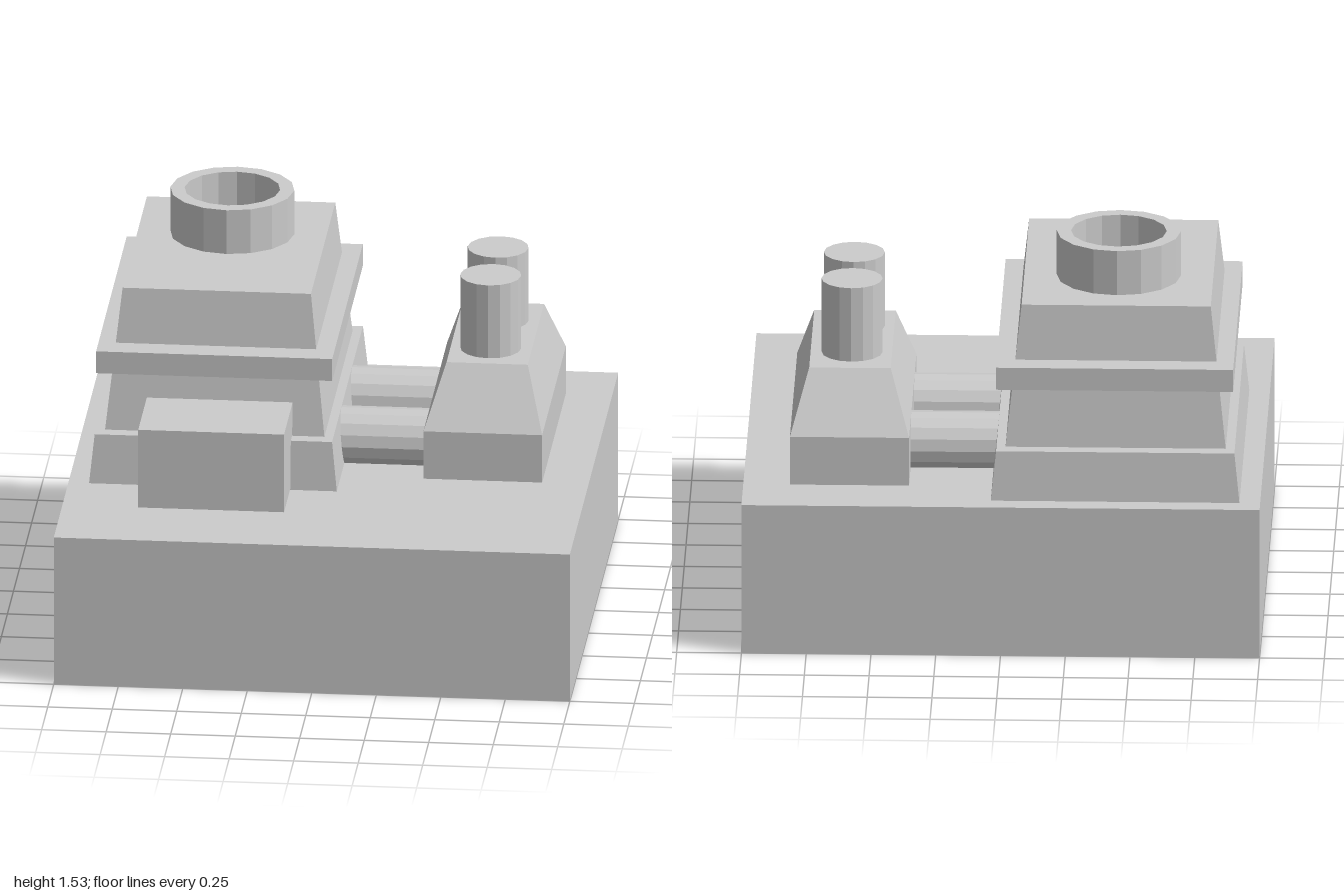
import * as THREE from 'three';

const material = new THREE.MeshStandardMaterial({ color: 0xcccccc, flatShading: true });
const shellMaterial = new THREE.MeshStandardMaterial({ color: 0xcccccc, flatShading: true, side: THREE.DoubleSide });

// Block between two heights; each rectangle is [xMin, xMax, zMin, zMax]
function taperedBlock(y0, y1, bottom, top = bottom) {
  const geometry = new THREE.BoxGeometry(1, 1, 1);
  const p = geometry.attributes.position;
  for (let i = 0; i < p.count; i++) {
    const r = p.getY(i) > 0 ? top : bottom;
    p.setXYZ(i, p.getX(i) > 0 ? r[1] : r[0], p.getY(i) > 0 ? y1 : y0, p.getZ(i) > 0 ? r[3] : r[2]);
  }
  geometry.computeVertexNormals();
  return geometry;
}

export function createModel() {
  const group = new THREE.Group();
  const add = (name, geometry, mat = material) => {
    const mesh = new THREE.Mesh(geometry, mat);
    mesh.name = name;
    group.add(mesh);
    return mesh;
  };

  // Hollow foundation, open underneath
  const base = taperedBlock(0, 0.605, [-1, 1, -1, 1]);
  const faces = Array.from(base.index.array);
  faces.splice(18, 6); // drop the bottom face
  base.setIndex(faces);
  add('foundation', base, shellMaterial);

  // Stepped tower
  add('towerPlinth', taperedBlock(0.605, 0.8, [-0.92, 0.04, -0.92, 0.395], [-0.9, 0.02, -0.9, 0.375]));
  add('towerBody', taperedBlock(0.8, 1.355, [-0.865, -0.015, -0.845, 0.32], [-0.805, -0.075, -0.77, 0.235]));
  add('towerLedge', taperedBlock(1.05, 1.14, [-0.895, 0.02, -0.895, 0.37]));

  // Hollow ring on the tower roof
  const ringProfile = [[0.185, 0], [0.24, 0], [0.24, 0.18], [0.185, 0.18], [0.185, 0]]
    .map(([r, y]) => new THREE.Vector2(r, y));
  add('roofRing', new THREE.LatheGeometry(ringProfile, 16), shellMaterial).position.set(-0.44, 1.355, -0.41);

  // Entrance block in front of the tower
  add('entranceBlock', taperedBlock(0.61, 0.93, [-0.705, -0.14, 0.2, 0.655]));

  // Side housing with sloped roof
  const housing = [0.36, 0.82, -0.755, 0.225];
  add('housingBase', taperedBlock(0.605, 0.8, housing));
  add('housingRoof', taperedBlock(0.8, 1.03, housing, [0.435, 0.75, -0.6, 0.07]));

  // Chimneys on the housing
  for (const z of [-0.41, -0.105]) {
    add('chimney', new THREE.CylinderGeometry(0.118, 0.118, 0.3, 16)).position.set(0.59, 1.18, z);
  }

  // Pipes joining tower and housing
  for (const z of [-0.45, -0.01]) {
    const pipe = add('connectingPipe', new THREE.CylinderGeometry(0.12, 0.12, 0.44, 16));
    pipe.rotation.z = Math.PI / 2;
    pipe.position.set(0.2, 0.68, z);
  }

  return group;
}
